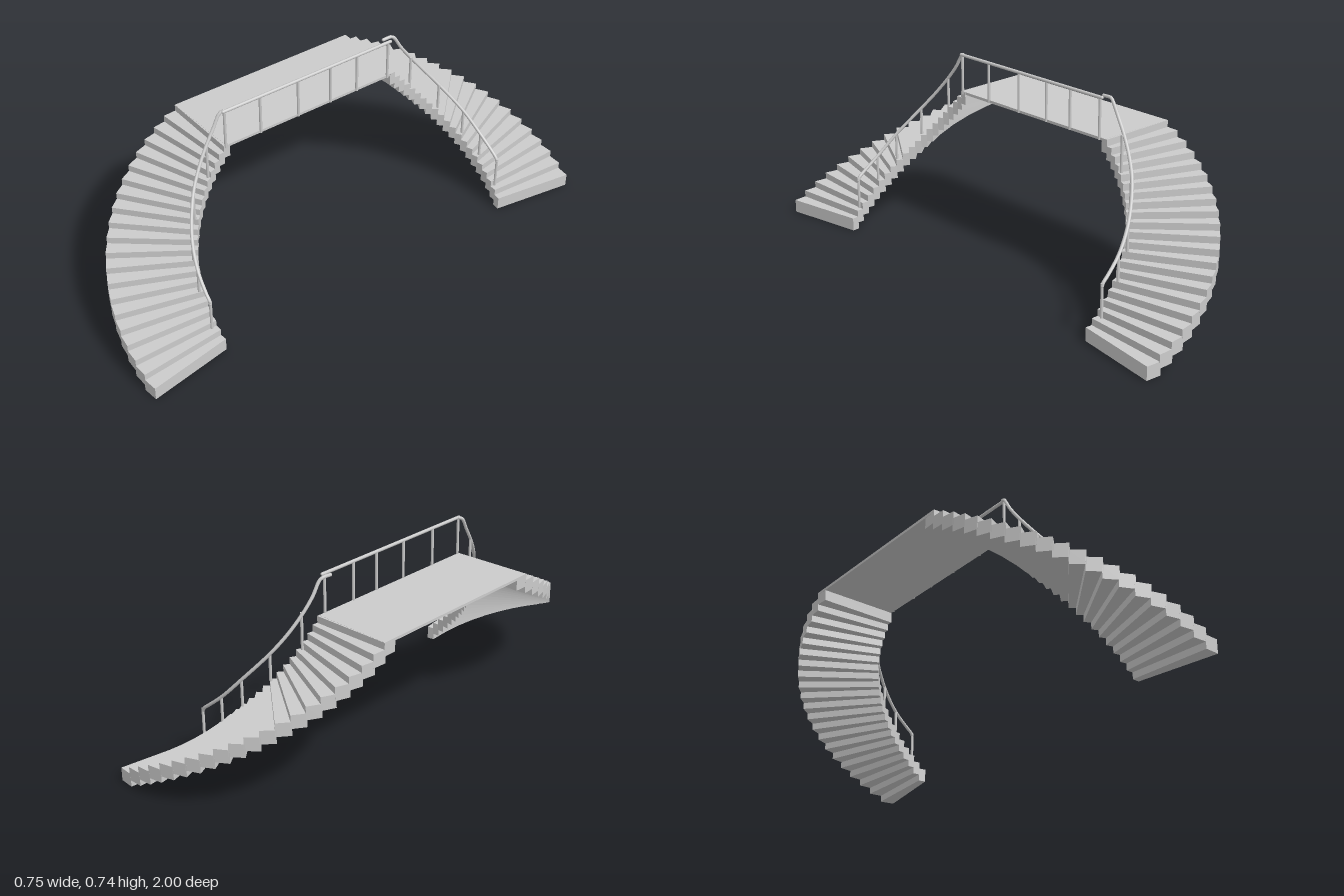
import * as THREE from 'three';

const RISER = 0.0263, STEPS = 21, PITCH = 4.93, START = 9.6, DEPTH = 5.4;
const CX = 0.265, CZ = 0.395;           // centre of each curved flight
const RAIL_Y = 0.73, FLOOR_Y = 22 * RISER, RAIL_R = 0.0065;
const mat = new THREE.MeshStandardMaterial({ color: 0xcccccc });

// Point on an elliptical quarter turn; angle 0 faces outward along z, +90 reaches -x
function arc(deg, rx, rz, side) {
  const a = THREE.MathUtils.degToRad(deg);
  return [CX - rx * Math.sin(a), side * (CZ + rz * Math.cos(a))];
}

function add(parent, geometry, name) {
  const mesh = new THREE.Mesh(geometry, mat);
  mesh.name = name;
  parent.add(mesh);
  return mesh;
}

// Horizontal slab from a plan outline of [x, z] corners
function slab(corners, y, height) {
  const shape = new THREE.Shape(corners.map(([x, z]) => new THREE.Vector2(x, -z)));
  const g = new THREE.ExtrudeGeometry(shape, { depth: height, bevelEnabled: false });
  return g.rotateX(-Math.PI / 2).translate(0, y, 0);
}

function post(parent, x, z, y0, y1) {
  const g = new THREE.CylinderGeometry(0.0055, 0.0055, y1 - y0, 10);
  add(parent, g, 'post').position.set(x, (y0 + y1) / 2, z);
}

// Round handrail with closed ends
function handrail(parent, points) {
  const curve = new THREE.CatmullRomCurve3(points, false, 'centripetal');
  add(parent, new THREE.TubeGeometry(curve, 64, RAIL_R, 10), 'handrail');
  for (const p of [points[0], points[points.length - 1]]) {
    add(parent, new THREE.SphereGeometry(RAIL_R, 10, 8), 'handrailEnd').position.copy(p);
  }
}

function flight(side) {
  const group = new THREE.Group();
  group.name = side > 0 ? 'frontFlight' : 'backFlight';

  // Wedge steps, each two risers thick
  for (let i = 0; i < STEPS; i++) {
    const a = i * PITCH - START, b = a + DEPTH;
    const corners = [arc(a, 0.315, 0.27, side), arc(a, 0.64, 0.605, side),
      arc(b, 0.64, 0.605, side), arc(b, 0.315, 0.27, side)];
    add(group, slab(corners, i * RISER, 2 * RISER), 'step');
  }

  // Curved handrail rising along the inner edge, with a bent lower end
  const profile = [[0, 0.2], [1, 0.212], [4, 0.226], [17, 0.287], [31.5, 0.37],
    [51, 0.478], [63, 0.548], [74, 0.617], [82, 0.672], [88, 0.722]];
  const rx = side > 0 ? 0.325 : 0.335;
  const points = profile.map(([deg, y]) => {
    const [x, z] = arc(deg, THREE.MathUtils.lerp(0.325, rx, deg / 90), 0.29, side);
    return new THREE.Vector3(x, y, z);
  });
  // Short level run at the landing
  if (side > 0) points.push(new THREE.Vector3(-0.056, RAIL_Y, 0.39));
  else points.push(new THREE.Vector3(-0.073, RAIL_Y, -0.395), new THREE.Vector3(-0.075, RAIL_Y, -0.355));
  handrail(group, points);

  // Posts standing on the treads
  for (const [deg, top] of [[0, 0.21], [16.5, 0.285], [31.5, 0.37], [51, 0.478], [74, 0.617]]) {
    const [x, z] = arc(deg, 0.325, 0.29, side);
    const tread = Math.floor((deg + START) / PITCH);
    post(group, x, z, (tread + 2) * RISER, top);
  }
  return group;
}

export function createModel() {
  const model = new THREE.Group();
  model.name = 'doubleStaircase';
  model.add(flight(1), flight(-1));

  // Thin landing joining both flights
  const landing = [[-0.375, -0.405], [-0.375, 0.405], [-0.05, 0.39], [-0.05, -0.39]];
  add(model, slab(landing, FLOOR_Y - 0.01, 0.0105), 'landing');

  // Straight railing along the inner edge of the landing
  const railing = new THREE.Group();
  railing.name = 'landingRailing';
  handrail(railing, [new THREE.Vector3(-0.05, RAIL_Y, 0.395), new THREE.Vector3(-0.05, RAIL_Y, -0.37)]);
  for (const z of [0.39, 0.235, 0.065, -0.085, -0.21, -0.36]) post(railing, -0.051, z, FLOOR_Y - 0.01, RAIL_Y);
  model.add(railing);
  return model;
}
